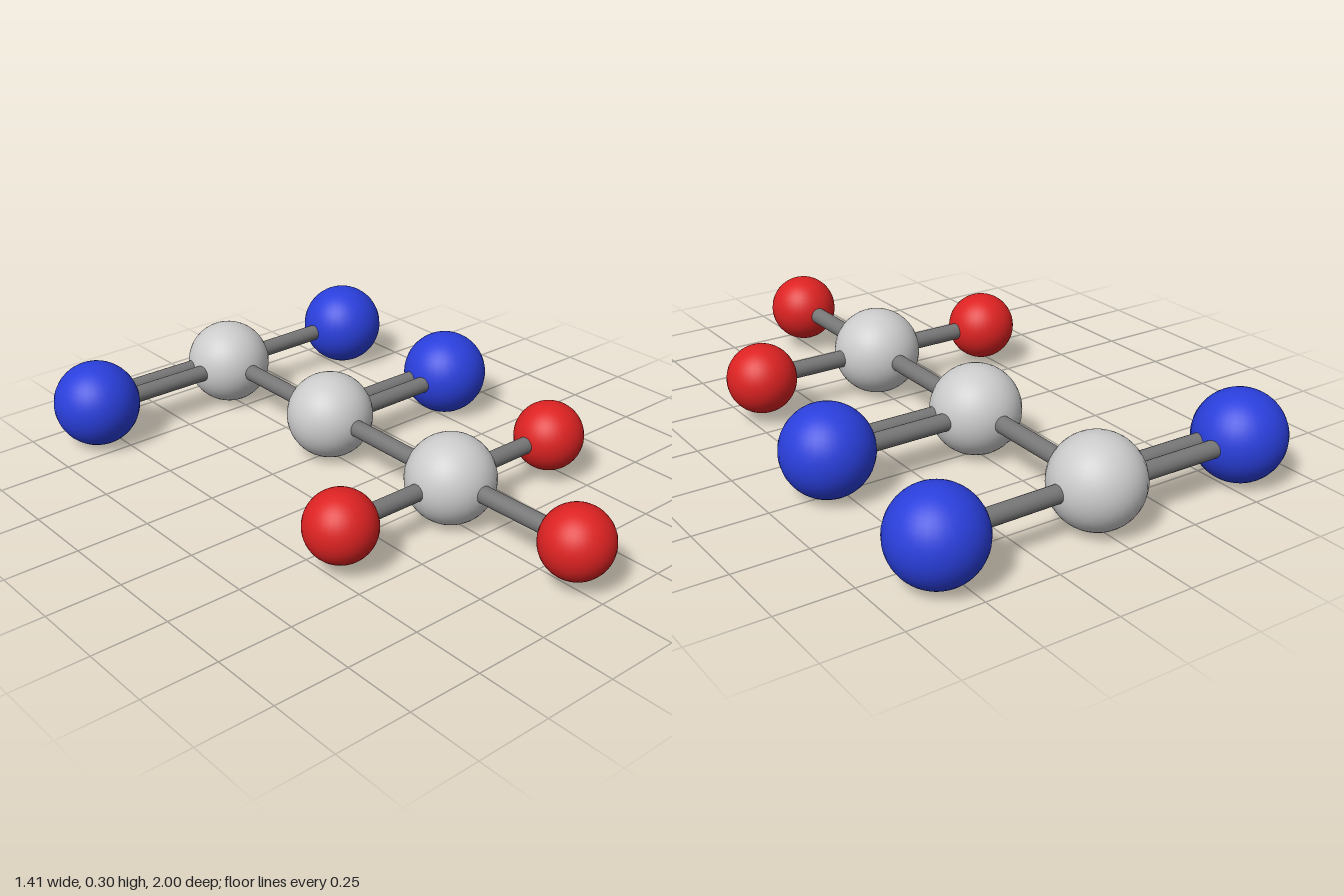
import * as THREE from 'three';

const Y = 0.153; // height of the plane all balls lie in
const BOND_RADIUS = 0.029;

const grey = new THREE.MeshStandardMaterial({ color: 0xcccccc });
const blue = new THREE.MeshStandardMaterial({ color: 0x2a3fdc });
const red = new THREE.MeshStandardMaterial({ color: 0xdd2222 });
const darkGrey = new THREE.MeshStandardMaterial({ color: 0x777777 });

export function createModel() {
  const model = new THREE.Group();
  model.name = 'moleculeModel';

  const bigBall = new THREE.SphereGeometry(0.149, 32, 24);
  const smallBall = new THREE.SphereGeometry(0.118, 32, 24);

  function addBall(name, geometry, material, x, z, y = Y) {
    const ball = new THREE.Mesh(geometry, material);
    ball.name = name;
    ball.position.set(x, y, z);
    model.add(ball);
    return ball.position;
  }

  // One rod, or two side by side in the horizontal plane
  function addBond(name, a, b, double = false) {
    const dir = b.clone().sub(a);
    const length = dir.length();
    dir.normalize();
    const side = new THREE.Vector3(dir.z, 0, -dir.x);
    for (const offset of double ? [-0.031, 0.031] : [0]) {
      const rod = new THREE.Mesh(
        new THREE.CylinderGeometry(BOND_RADIUS, BOND_RADIUS, length, 24), darkGrey);
      rod.name = name;
      rod.position.copy(a).lerp(b, 0.5).addScaledVector(side, offset);
      rod.quaternion.setFromUnitVectors(new THREE.Vector3(0, 1, 0), dir);
      model.add(rod);
    }
  }

  // Chain of three grey balls
  const back = addBall('backChainBall', bigBall, grey, 0, -0.845);
  const middle = addBall('middleChainBall', bigBall, grey, 0, -0.245);
  const front = addBall('frontChainBall', bigBall, grey, 0, 0.358);
  addBond('chainBond', back, middle);
  addBond('chainBond', middle, front);

  // Blue balls
  const backRight = addBall('backRightBlueBall', bigBall, blue, -0.561, -0.851);
  const backLeft = addBall('backLeftBlueBall', bigBall, blue, 0.556, -0.851);
  const middleLeft = addBall('middleLeftBlueBall', bigBall, blue, 0.544, -0.245);
  addBond('doubleBond', back, backRight, true);
  addBond('backLeftBond', back, backLeft);
  addBond('doubleBond', middle, middleLeft, true);

  // Red balls around the front end of the chain
  addBond('rightRedBond', front, addBall('rightRedBall', smallBall, red, -0.45, 0.357));
  addBond('leftRedBond', front, addBall('leftRedBall', smallBall, red, 0.454, 0.357));
  addBond('frontRedBond', front, addBall('frontRedBall', smallBall, red, 0.008, 0.881, 0.157));

  return model;
}
